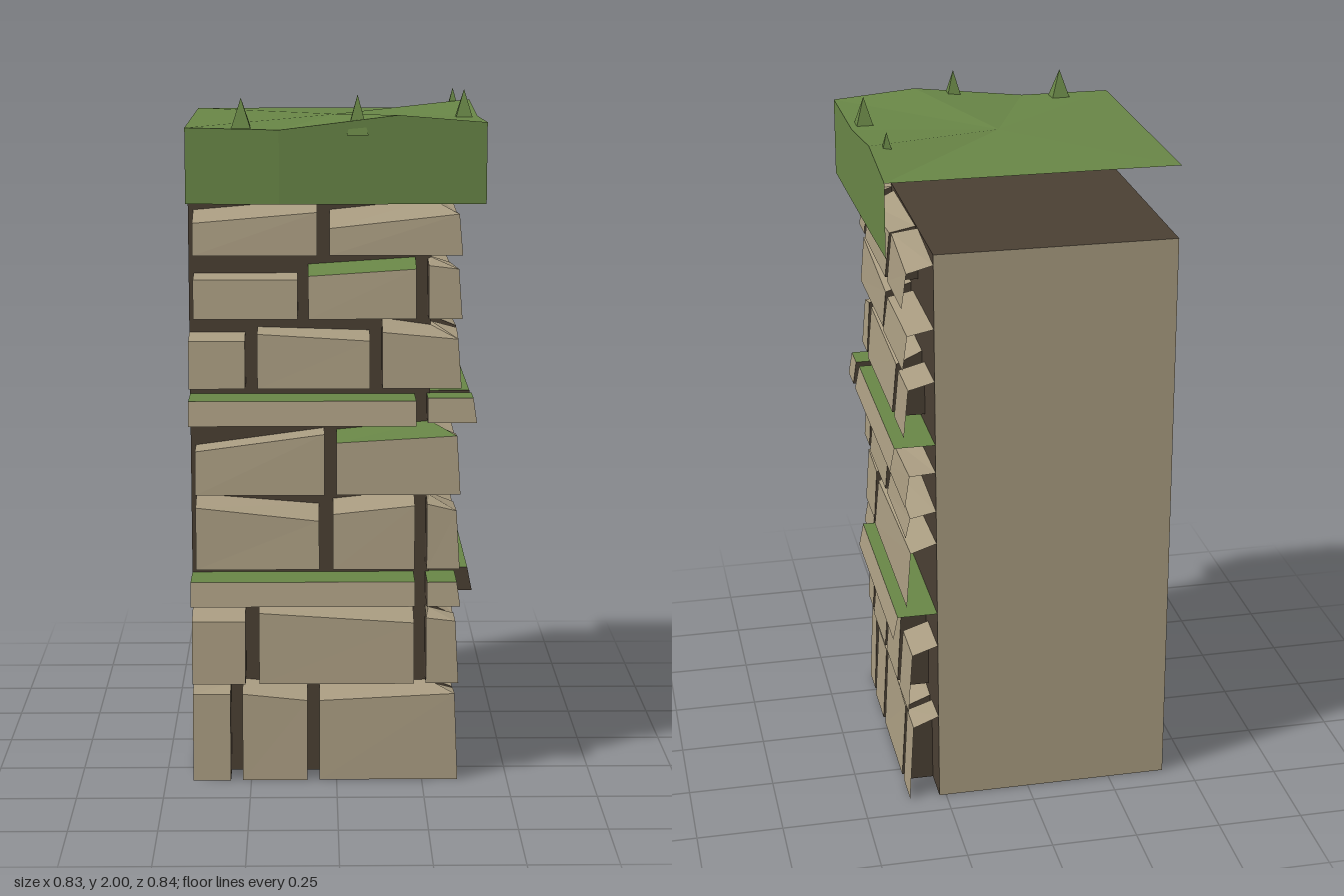
import * as THREE from 'three';

const stone = new THREE.MeshStandardMaterial({ color: 0xa89b80, side: THREE.DoubleSide });
const mortar = new THREE.MeshStandardMaterial({ color: 0x4a3f33, side: THREE.DoubleSide });
const moss = new THREE.MeshStandardMaterial({ color: 0x688546, side: THREE.DoubleSide });
stone.name = 'stone'; mortar.name = 'mortar'; moss.name = 'moss';

const BACK = -0.42, WALL = 0.27, TOP = 1.7;

// Flat-shaded mesh from polygons: each face is [material, corner, corner, corner, ...]
function shell(name, faces) {
  const pos = [], mats = [stone, mortar, moss];
  const geo = new THREE.BufferGeometry();
  for (const [mat, ...p] of faces) {
    const start = pos.length / 3;
    for (let i = 1; i < p.length - 1; i++) pos.push(...p[0], ...p[i], ...p[i + 1]);
    geo.addGroup(start, pos.length / 3 - start, mats.indexOf(mat));
  }
  geo.setAttribute('position', new THREE.Float32BufferAttribute(pos, 3));
  geo.computeVertexNormals();
  const mesh = new THREE.Mesh(geo, mats);
  mesh.name = name;
  return mesh;
}

// Brick on one wall: sloped face, bevelled top, dark sides towards the joints.
// u0..u1 along the wall, y0 bottom, e0/e1 front edge heights, t0/t1 heights at the wall
function brick(name, side, [u0, u1, y0, e0, e1, t0, t1], topMat = stone, out = 0.345) {
  const P = (u, y, d) => (side === 'front' ? [u, y, d] : [d, y, u]);
  const low = out + 0.014;
  const faces = [
    [stone, P(u0, y0, low), P(u1, y0, low), P(u1, e1, out), P(u0, e0, out)],
    [topMat, P(u0, e0, out), P(u1, e1, out), P(u1, t1, WALL), P(u0, t0, WALL)],
    [mortar, P(u1, y0, low), P(u1, y0, WALL), P(u1, t1, WALL), P(u1, e1, out)],
  ];
  if (u0 > BACK) faces.push([mortar, P(u0, y0, WALL), P(u0, y0, low), P(u0, e0, out), P(u0, t0, WALL)]);
  // the side wall runs the other way, so its corners are reversed
  return shell(name, side === 'front' ? faces : faces.map(([m, ...p]) => [m, ...p.reverse()]));
}

// Corner stone wrapping both walls: starts at x0 on the front and z0 on the side;
// heights are given at the front end, the corner and the side end
function corner(name, [x0, z0, y0, eA, e, eC, tA, t, tC], topMat = stone, sideTop = stone, ox = 0.345, oz = 0.345) {
  const s = 0.01, lx = ox + s, lz = oz + s;
  const a = [x0, eA, oz], b = [ox, e, oz], c = [ox, eC, z0];
  const ia = [x0, tA, WALL], ib = [WALL, t, WALL], ic = [WALL, tC, z0];
  return shell(name, [
    [stone, [x0, y0, lz], [lx, y0, lz], b, a],
    [stone, [lx, y0, lz], [lx, y0, z0], c, b],
    [topMat, a, b, ib, ia],
    [sideTop, b, c, ic, ib],
    [mortar, [x0, y0, WALL], [x0, y0, lz], a, ia],
    [mortar, [lx, y0, z0], [WALL, y0, z0], ic, c],
  ]);
}

const frontBricks = [
  [-0.42, -0.31, 0, 0.26, 0.26, 0.28, 0.27],
  [-0.275, -0.085, 0, 0.26, 0.24, 0.285, 0.265],
  [-0.42, -0.265, 0.295, 0.48, 0.48, 0.505, 0.505],
  [-0.225, 0.225, 0.295, 0.505, 0.475, 0.53, 0.505],
  [-0.405, -0.05, 0.64, 0.82, 0.78, 0.845, 0.815],
  [-0.01, 0.225, 0.64, 0.8, 0.825, 0.83, 0.855],
  [-0.405, -0.035, 0.86, 0.985, 1.035, 0.99, 1.04],
  [-0.42, -0.26, 1.17, 1.305, 1.305, 1.32, 1.32],
  [-0.225, 0.095, 1.17, 1.325, 1.305, 1.335, 1.325],
  [-0.405, -0.11, 1.37, 1.48, 1.48, 1.49, 1.49],
  [-0.08, 0.225, 1.37, 1.49, 1.51, 1.515, 1.535],
  [-0.405, -0.055, 1.55, 1.64, 1.67, 1.67, 1.7],
];
const sideBricks = [
  [0.07, 0.22, 0, 0.24, 0.24, 0.25, 0.27],
  [-0.28, 0.035, 0, 0.235, 0.265, 0.265, 0.285],
  [-0.42, -0.31, 0, 0.24, 0.24, 0.27, 0.265],
  [0, 0.22, 0.295, 0.49, 0.465, 0.51, 0.5],
  [-0.225, -0.025, 0.295, 0.51, 0.465, 0.53, 0.495],
  [-0.42, -0.26, 0.295, 0.48, 0.48, 0.505, 0.505],
  [-0.42, 0.155, 0.64, 0.81, 0.785, 0.835, 0.81],
  [-0.07, 0.22, 0.86, 1.02, 1.005, 1.04, 1.03],
  [-0.42, -0.1, 0.86, 0.92, 0.94, 0.935, 0.95],
  [-0.42, -0.1, 0.955, 1.05, 1.035, 1.055, 1.05],
  [-0.225, 0.22, 1.17, 1.315, 1.33, 1.35, 1.36],
  [-0.42, -0.26, 1.17, 1.31, 1.31, 1.33, 1.33],
  [-0.42, -0.09, 1.37, 1.47, 1.47, 1.485, 1.485],
  [-0.145, 0.22, 1.55, 1.68, 1.655, 1.695, 1.69],
  [-0.42, -0.18, 1.55, 1.65, 1.69, 1.67, 1.7],
];
const cornerBricks = [
  [-0.05, 0.26, 0, 0.24, 0.26, 0.25, 0.265, 0.28, 0.27],
  [0.26, 0.26, 0.295, 0.49, 0.48, 0.48, 0.51, 0.5, 0.5],
  [0.26, 0.19, 0.64, 0.83, 0.81, 0.8, 0.85, 0.84, 0.83],
  [0, 0.26, 0.86, 1.01, 1.03, 1.02, 1.035, 1.06, 1.05],
  [0.13, 0.26, 1.17, 1.33, 1.31, 1.33, 1.36, 1.34, 1.35],
  [0.26, -0.06, 1.37, 1.52, 1.51, 1.475, 1.53, 1.535, 1.5],
  [-0.02, 0.26, 1.55, 1.625, 1.665, 1.66, 1.67, 1.7, 1.69],
];

export function createModel() {
  const model = new THREE.Group();
  model.name = 'stonePillar';

  // Core: dark behind the bricks, plain stone on the two cut faces
  const w = WALL - BACK, mid = (WALL + BACK) / 2;
  const core = new THREE.Mesh(new THREE.BoxGeometry(w, TOP, w), [mortar, stone, mortar, mortar, mortar, stone]);
  core.name = 'core';
  core.position.set(mid, TOP / 2, mid);
  model.add(core);

  // Brick courses
  frontBricks.forEach((b, i) => model.add(brick('frontBrick', 'front', b, i === 10 ? moss : stone)));
  sideBricks.forEach((b) => model.add(brick('sideBrick', 'side', b)));
  cornerBricks.forEach((b, i) => model.add(corner('cornerBrick', b, i === 3 ? moss : stone)));

  // Two protruding mossy ledges
  [[0.54, 0.61, 0.345, 0.39], [1.07, 1.14, 0.39, 0.345]].forEach(([y0, y1, ox, oz]) => {
    const run = [BACK, 0.225, y0, y1, y1, y1, y1];
    model.add(brick('frontLedge', 'front', run, moss, 0.386));
    model.add(brick('sideLedge', 'side', run, moss, 0.386));
    model.add(corner('cornerLedge', [0.26, 0.26, y0, y1, y1, y1, y1, y1, y1], moss, moss, ox, oz));
  });

  // Moss cap: a sheet on top with skirts over the front and side only
  const frontEdge = [[-0.42, 1.91, 0.4], [-0.16, 1.905, 0.418], [0.17, 1.945, 0.41], [0.415, 1.925, 0.405]];
  const sideEdge = [frontEdge[3], [0.41, 1.92, 0.08], [0.405, 1.95, -0.2], [0.4, 1.91, -0.425]];
  const rim = [...frontEdge, ...sideEdge.slice(1), [-0.42, 1.91, -0.425]];
  const centre = [0, 1.92, 0], cap = [];
  rim.forEach((p, i) => cap.push([moss, centre, p, rim[(i + 1) % rim.length]]));
  const drop = ([x, , z]) => [x, TOP, z];
  for (const edge of [frontEdge, sideEdge])
    for (let i = 0; i < 3; i++) cap.push([moss, drop(edge[i]), drop(edge[i + 1]), edge[i + 1], edge[i]]);
  model.add(shell('mossCap', cap));

  // Grass tufts: small four-sided spikes
  [[-0.265, 0.368, 0.065, 1.99], [0.057, 0.388, 0.06, 2], [0.367, 0.135, 0.066, 2], [0.355, -0.195, 0.05, 1.985]]
    .forEach(([x, z, size, tip]) => {
      const h = tip - 1.89;
      const geo = new THREE.ConeGeometry(size * Math.SQRT1_2, h, 4).rotateY(Math.PI / 4).toNonIndexed();
      geo.computeVertexNormals();
      const tuft = new THREE.Mesh(geo, moss);
      tuft.name = 'grassTuft';
      tuft.position.set(x, 1.89 + h / 2, z);
      model.add(tuft);
    });

  return model;
}
